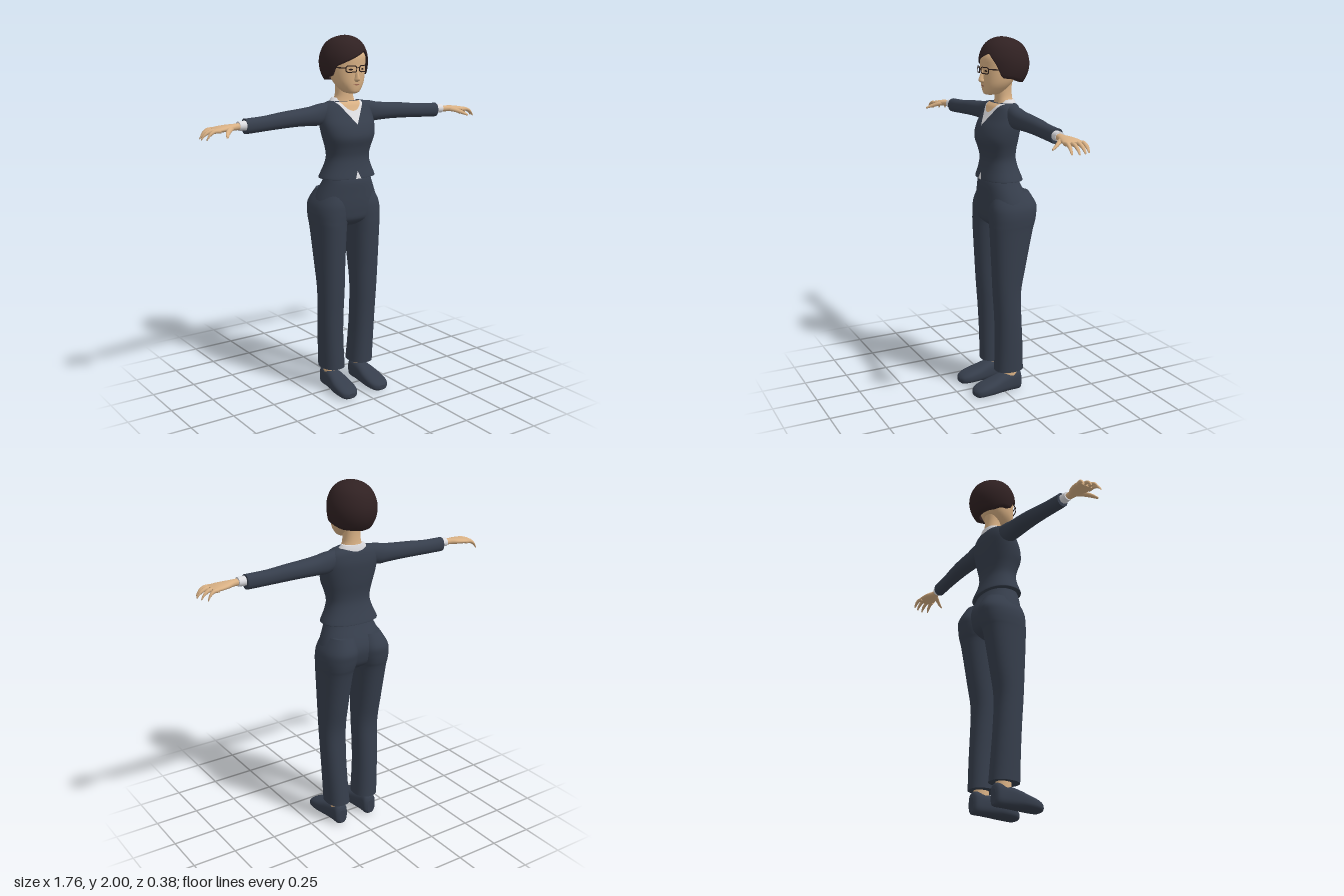
import * as THREE from 'three';

const mat = (name, color, side = THREE.FrontSide) => {
  const m = new THREE.MeshStandardMaterial({ color, side });
  m.name = name;
  return m;
};

// Smooth surface from a rule fn(i, j); closed wraps j around
function grid(n, m, closed, fn) {
  const pos = [], idx = [], cols = closed ? m : m + 1;
  for (let i = 0; i <= n; i++) for (let j = 0; j < cols; j++) pos.push(...fn(i, j));
  for (let i = 0; i < n; i++) for (let j = 0; j < m; j++) {
    const k = (j + 1) % cols, a = i * cols + j, b = i * cols + k, c = a + cols, d = b + cols;
    idx.push(a, c, b, c, d, b);
  }
  const g = new THREE.BufferGeometry();
  g.setAttribute('position', new THREE.Float32BufferAttribute(pos, 3));
  g.setIndex(idx);
  g.computeVertexNormals();
  return g;
}

// Catmull-Rom subdivision of section rows
function dense(rows, sub = 4) {
  const out = [], at = i => rows[Math.min(rows.length - 1, Math.max(0, i))];
  for (let i = 0; i < rows.length - 1; i++) for (let s = 0; s < sub; s++) {
    const t = s / sub;
    out.push(rows[i].map((p1, k) => {
      const p0 = at(i - 1)[k], p2 = at(i + 1)[k], p3 = at(i + 2)[k];
      return p1 + 0.5 * t * (p2 - p0 + t * (2 * p0 - 5 * p1 + 4 * p2 - p3 + t * (3 * (p1 - p2) + p3 - p0)));
    }));
  }
  out.push(at(rows.length - 1));
  return out;
}

// Section row: [u, a0, a1, b0, b1]; axes map (u, a, b) to x, y, z
const AXES = {
  y: (u, a, b) => [a, u, b],
  x: (u, a, b) => [u, b, a],
  z: (u, a, b) => [b, Math.max(0, a), u],
};
const sgnPow = (v, p) => Math.sign(v) * Math.abs(v) ** p;

// Capped loft through superelliptic sections
function loft(axis, rows, n = 2.2, seg = 32) {
  const d = dense([...rows].sort((p, q) => p[0] - q[0]));
  const list = [[d[0], 0], [d[0], 1], ...d.map(r => [r, 1]), [d.at(-1), 1], [d.at(-1), 0]];
  return grid(list.length - 1, seg, true, (i, j) => {
    const [[u, a0, a1, b0, b1], k] = list[i], t = (j / seg) * Math.PI * 2;
    return AXES[axis](u,
      (a0 + a1) / 2 + k * (a1 - a0) / 2 * sgnPow(Math.cos(t), 2 / n),
      (b0 + b1) / 2 + k * (b1 - b0) / 2 * sgnPow(Math.sin(t), 2 / n));
  });
}

// Symmetric body rows: [y, halfWidth, zBack, zFront]
const sym = rows => rows.map(([y, r, b, f]) => [y, -r, r, b, f]);

function sectionAt(d, y) {
  let i = 0;
  while (i < d.length - 2 && d[i + 1][0] < y) i++;
  const t = THREE.MathUtils.clamp((y - d[i][0]) / (d[i + 1][0] - d[i][0]), 0, 1);
  return d[i].map((v, k) => v + (d[i + 1][k] - v) * t);
}

// Thin painted patch following the front of a lofted body
function patch(rows, n, y0, y1, width, lift, cx = 0) {
  const d = dense(rows), N = 16;
  return grid(N, N, false, (i, j) => {
    const t = i / N, y = y0 + (y1 - y0) * t, x = cx + width(t) * (1 - 2 * j / N);
    const [, , r, b, f] = sectionAt(d, y);
    const k = Math.max(0, 1 - Math.abs(x / r) ** n) ** (1 / n);
    return [x, y, (f + b) / 2 + (f - b) / 2 * k + lift];
  });
}

const TORSO = sym([
  [1.235, .165, -.13, .095], [1.245, .163, -.128, .094], [1.3, .138, -.108, .081], [1.35, .126, -.096, .076],
  [1.4, .134, -.097, .086], [1.46, .152, -.107, .103], [1.52, .163, -.114, .088], [1.57, .163, -.117, .06],
  [1.61, .153, -.112, .038], [1.635, .13, -.105, .025], [1.65, .09, -.095, .01]]);
const PELVIS = sym([
  [.965, .06, -.09, .03], [1, .17, -.14, .075], [1.05, .195, -.16, .085], [1.1, .19, -.165, .088],
  [1.15, .172, -.15, .088], [1.22, .14, -.115, .086], [1.26, .125, -.1, .07]]);
const LEG = [
  [.13, .027, .164, -.117, .05], [.3, .038, .172, -.107, .05], [.45, .04, .178, -.097, .055],
  [.6, .037, .183, -.093, .065], [.75, .033, .19, -.12, .073], [.95, .022, .2, -.16, .083],
  [1, .012, .204, -.175, .084], [1.05, 0, .205, -.185, .084], [1.1, 0, .194, -.187, .08], [1.17, .01, .155, -.15, .06]];
const HEAD = sym([
  [1.695, .025, .0, .058], [1.705, .045, -.03, .071], [1.74, .074, -.07, .077], [1.78, .09, -.1, .079],
  [1.84, .098, -.12, .08], [1.9, .098, -.12, .078], [1.95, .07, -.1, .04]]);
const NECK = sym([[1.62, .07, -.1, .01], [1.65, .062, -.095, .002], [1.68, .05, -.09, 0], [1.72, .047, -.088, 0], [1.76, .05, -.09, 0]]);
const NOSE = sym([[1.758, .009, .05, .084], [1.768, .016, .05, .1], [1.785, .012, .05, .1], [1.835, .006, .05, .08]]);
const HAIR = sym([
  [1.74, .09, -.135, .06], [1.76, .106, -.152, .072], [1.8, .123, -.176, .085], [1.85, .131, -.187, .089],
  [1.9, .126, -.18, .087], [1.95, .104, -.155, .066], [1.98, .072, -.115, .035], [1.995, .035, -.07, 0], [2, .003, -.038, -.032]]);
const SLEEVE = [
  [.09, -.085, 0, 1.55, 1.646], [.16, -.09, .005, 1.525, 1.64], [.22, -.09, .008, 1.526, 1.628], [.3, -.09, .007, 1.528, 1.62],
  [.4, -.082, .005, 1.526, 1.612], [.5, -.07, .005, 1.522, 1.601], [.6, -.06, .01, 1.518, 1.597], [.625, -.058, .011, 1.518, 1.597]];
const CUFF = [[.6, -.045, .009, 1.536, 1.588], [.665, -.042, .009, 1.538, 1.587]];
const PALM = [
  [.65, -.034, .006, 1.545, 1.579], [.69, -.035, .012, 1.543, 1.577], [.73, -.055, .025, 1.542, 1.575],
  [.78, -.065, .037, 1.54, 1.57], [.815, -.06, .034, 1.541, 1.562]];
const SHOE = [
  [-.105, .01, .09, .08, .12], [-.09, 0, .12, .06, .14], [-.04, 0, .115, .057, .143], [.02, 0, .105, .05, .152],
  [.08, 0, .085, .043, .163], [.14, 0, .066, .045, .163], [.175, 0, .05, .06, .15], [.19, .01, .035, .085, .125]];

// Lower edge of the hair by angle in degrees from the front towards +x
const HAIRLINE = [
  [-180, 1.753], [-120, 1.762], [-90, 1.782], [-68, 1.785], [-52, 1.84], [0, 1.893], [28, 1.918],
  [45, 1.87], [62, 1.79], [90, 1.782], [120, 1.762], [180, 1.753]];

function hairGeometry() {
  const d = dense(HAIR), N = 20, M = 60;
  return grid(N + 1, M, true, (i, j) => {
    const deg = -180 + 360 * j / M, th = deg * Math.PI / 180;
    const b = sectionAt(HAIRLINE, deg)[1], rim = i > N;
    const y = b + (2 - b) * Math.cos(Math.min(i / N, 1) * Math.PI / 2);
    const [, , r, zb, zf] = sectionAt(d, y), k = rim ? .75 : 1;
    return [k * r * Math.sin(th), y + (rim ? .006 : 0), (zf + zb) / 2 + k * (zf - zb) / 2 * Math.cos(th)];
  });
}

const tube = (pts, closed) => new THREE.TubeGeometry(
  new THREE.CatmullRomCurve3(pts.map(p => new THREE.Vector3(...p)), closed, 'catmullrom', .3), closed ? 40 : 4, .0028, 6, closed);

export function createModel() {
  const model = new THREE.Group();
  model.name = 'woman in suit';
  const suit = mat('navy suit', 0x363e4c), skin = mat('skin', 0xd8b084), shirt = mat('white shirt', 0xdcdce0);
  const hair = mat('dark brown hair', 0x302122, THREE.DoubleSide), frame = mat('glasses frame', 0x2a1d1a);
  const lip = mat('lips', 0xa56f58);
  const add = (name, geo, material) => {
    const m = new THREE.Mesh(geo, material);
    m.name = name;
    model.add(m);
  };

  // Jacket, shirt and neckline
  add('jacket', loft('y', TORSO, 2.3, 48), suit);
  add('shirtFront', patch(TORSO, 2.3, 1.53, 1.649, t => .086 * t, .005), shirt);
  add('neckline', patch(TORSO, 2.3, 1.6, 1.65, t => .066 * Math.sqrt(t), .008), skin);
  add('shirtHem', patch(TORSO, 2.3, 1.236, 1.278, t => .018 * (1 - t), .004), shirt);
  add('collar', loft('y', sym([[1.63, .09, -.106, .01], [1.65, .08, -.103, -.005], [1.667, .066, -.099, -.02]])), shirt);

  // Head
  add('neck', loft('y', NECK), skin);
  add('head', loft('y', HEAD, 2.2, 40), skin);
  add('nose', loft('y', NOSE, 2, 16), skin);
  add('mouth', patch(HEAD, 2.2, 1.739, 1.748, t => .02 * Math.sin(Math.PI * t), .003), lip);
  add('hair', hairGeometry(), hair);
  add('glassesBridge', tube([[-.01, 1.833, .092], [.01, 1.833, .092]], false), frame);

  // Trousers
  add('hips', loft('y', PELVIS, 2.3, 48), suit);

  for (const s of [1, -1]) {
    const side = s > 0 ? 'left' : 'right';
    const flipA = rows => rows.map(([u, a0, a1, b0, b1]) => s > 0 ? [u, a0, a1, b0, b1] : [u, -a1, -a0, b0, b1]);
    const flipB = rows => rows.map(([u, a0, a1, b0, b1]) => s > 0 ? [u, a0, a1, b0, b1] : [u, a0, a1, -b1, -b0]);
    const flipU = rows => rows.map(([u, ...r]) => [s * u, ...r]);

    // Legs and feet
    add(side + 'TrouserLeg', loft('y', flipA(LEG), 2.3), suit);
    add(side + 'Ankle', loft('y', flipA([[.07, .066, .138, -.088, .005], [.16, .068, .134, -.085, 0]]), 2, 20), skin);
    add(side + 'Shoe', loft('z', flipB(SHOE), 2.7), suit);

    // Arms and hands
    add(side + 'Sleeve', loft('x', flipU(SLEEVE)), suit);
    add(side + 'Cuff', loft('x', flipU(CUFF), 2, 24), shirt);
    add(side + 'Palm', loft('x', flipU(PALM), 2.2, 24), skin);
    [[-.052, -.066, .852], [-.024, -.034, .872], [.004, .002, .88], [.026, .036, .866]].forEach(([z0, z1, tip], i) => {
      const rows = [[0, 1.551, .0115], [.45, 1.552, .0105], [.8, 1.537, .0095], [1, 1.515, .005]].map(([t, y, r]) => {
        const z = z0 + (z1 - z0) * t;
        return [.785 + (tip - .785) * t, z - r, z + r, y - r, y + r];
      });
      add(side + 'Finger' + (i + 1), loft('x', flipU(rows), 2, 12), skin);
    });
    add(side + 'Thumb', loft('z', flipB([
      [0, 1.545, 1.57, .69, .735], [.03, 1.54, 1.564, .72, .755], [.06, 1.53, 1.55, .75, .775], [.09, 1.522, 1.532, .774, .786]]), 2, 14), skin);

    // Eyes and glasses
    add(side + 'Eye', patch(HEAD, 2.2, 1.819, 1.829, t => .012 * Math.sin(Math.PI * t), .003, s * .037), frame);
    const lens = [[-1, -.6], [-.7, -1], [.7, -1], [1, -.6], [1, .6], [.7, 1], [-.7, 1], [-1, .6]];
    add(side + 'LensFrame', tube(lens.map(([x, y]) => [s * .038 + .028 * x, 1.827 + .016 * y, .092 - .008 * (s * x + 1)]), true), frame);
    add(side + 'Temple', tube([[s * .066, 1.834, .077], [s * .1, 1.834, .03], [s * .106, 1.834, -.01]], false), frame);
  }
  return model;
}
